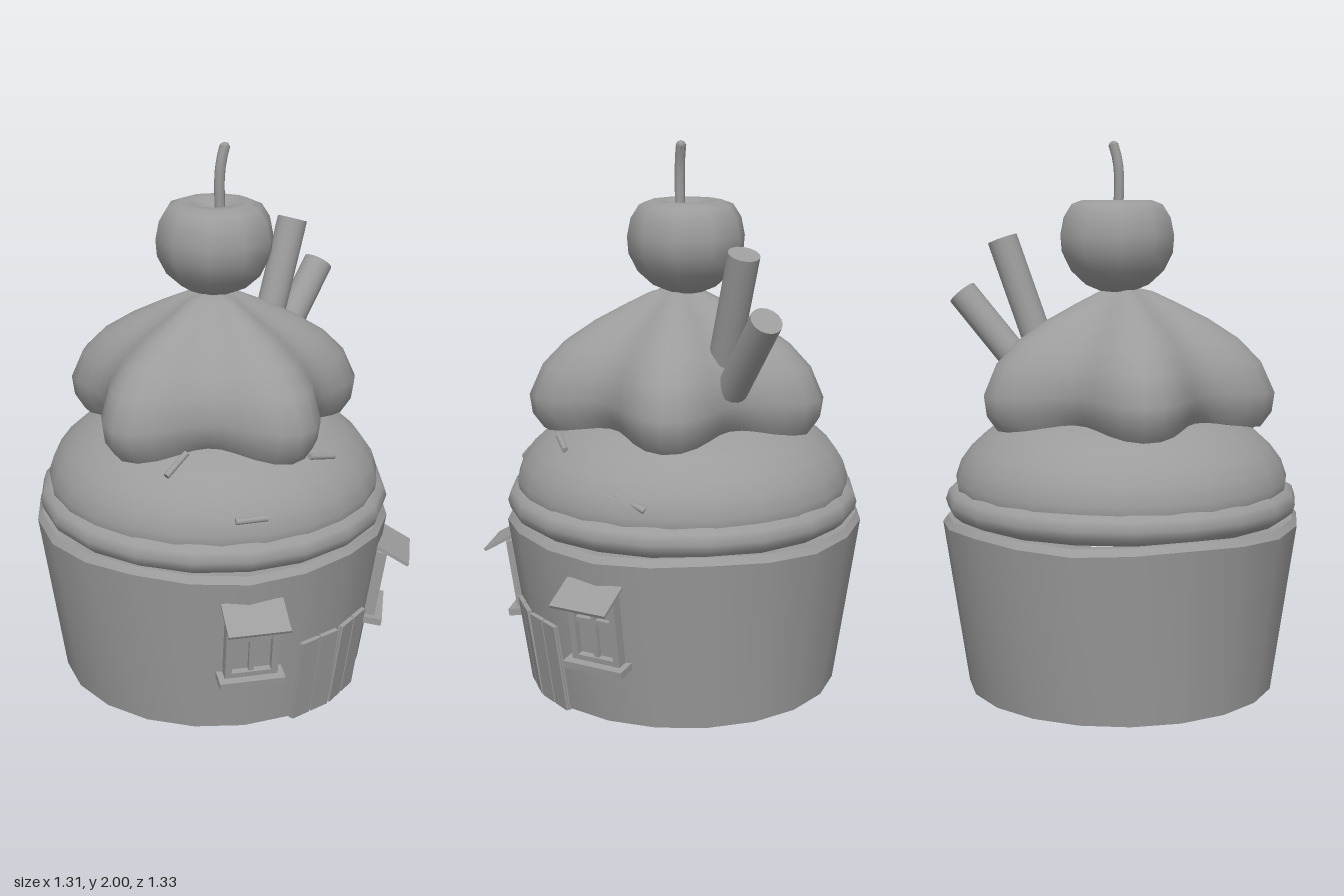
import * as THREE from 'three';
import { toCreasedNormals } from 'three/addons/utils/BufferGeometryUtils.js';

const grey = new THREE.MeshStandardMaterial({ color: 0x9c9c9c });
grey.name = 'plain grey';
const CZ = -0.015; // z of the cake axis
const WALL_TILT = Math.atan2(0.09, 0.61);

function add(parent, name, geometry, x = 0, y = 0, z = 0) {
  const mesh = new THREE.Mesh(geometry, grey);
  mesh.name = name;
  mesh.position.set(x, y, z);
  parent.add(mesh);
  return mesh;
}

function box(parent, name, w, h, d, x, y, z) {
  return add(parent, name, new THREE.BoxGeometry(w, h, d), x, y, z);
}

function lathe(points, segments) {
  return new THREE.LatheGeometry(points.map(([r, y]) => new THREE.Vector2(r, y)), segments);
}

// Round bar between two points
function stick(parent, name, a, b, radius) {
  const from = new THREE.Vector3(...a), dir = new THREE.Vector3(...b).sub(from);
  const mesh = add(parent, name, new THREE.CylinderGeometry(radius, radius, dir.length(), 16));
  mesh.position.copy(from).addScaledVector(dir, 0.5);
  mesh.quaternion.setFromUnitVectors(new THREE.Vector3(0, 1, 0), dir.normalize());
}

// Five-lobed cream: each row is [lobe radius, height at lobe, valley radius, height at valley]
function creamGeometry() {
  const rows = [
    [0.2, 0.99, 0.2, 1.0], [0.5, 0.975, 0.36, 1.01], [0.54, 1.03, 0.39, 1.05], [0.55, 1.1, 0.405, 1.11],
    [0.5, 1.21, 0.385, 1.2], [0.42, 1.29, 0.34, 1.27], [0.31, 1.36, 0.26, 1.34],
    [0.19, 1.42, 0.17, 1.4], [0.1, 1.46, 0.1, 1.45], [0, 1.48, 0, 1.48],
  ];
  const segments = 50;
  const geo = lathe(rows.map(r => [r[0], r[1]]), segments);
  const pos = geo.attributes.position;
  for (let i = 0; i < pos.count; i++) {
    const [lr, ly, vr, vy] = rows[i % rows.length];
    const phi = Math.floor(i / rows.length) / segments * Math.PI * 2;
    const angle = Math.PI / 2 - phi;
    const w = Math.pow(0.5 + 0.5 * Math.cos(5 * (angle - 0.54)), 1.15);
    const r = vr + (lr - vr) * w;
    pos.setXYZ(i, Math.sin(phi) * r - 0.012, vy + (ly - vy) * w, Math.cos(phi) * r);
  }
  return toCreasedNormals(geo, 0.8);
}

// Paper cup with a gently wavy rim
function cupGeometry() {
  const points = [[0, 0.01], [0.565, 0.01], [0.655, 0.625], [0.637, 0.65], [0.58, 0.645]];
  const geo = lathe(points, 20);
  const pos = geo.attributes.position;
  for (let i = 0; i < pos.count; i++) {
    if (i % points.length < 2) continue;
    const phi = Math.floor(i / points.length) / 20 * Math.PI * 2;
    pos.setY(i, pos.getY(i) + 0.008 * Math.cos(5 * phi));
  }
  return toCreasedNormals(geo, 0.5);
}

// Cottage window: frame bars, sill and sloping awning, built facing +z
function windowUnit(side) {
  const turn = new THREE.Group();
  turn.name = side > 0 ? 'leftWindow' : 'rightWindow';
  turn.position.set(0, 0, CZ);
  turn.rotation.y = side * 0.61;
  const unit = new THREE.Group();
  unit.position.set(0, 0.375, 0.617);
  unit.rotation.x = WALL_TILT;
  turn.add(unit);
  box(unit, 'windowPane', 0.18, 0.26, 0.02, 0, 0, -0.006);
  for (const s of [-1, 1]) {
    box(unit, 'frameSide', 0.024, 0.27, 0.04, s * 0.083, 0, 0.008);
    box(unit, 'frameEnd', 0.18, 0.024, 0.04, 0, s * 0.118, 0.008);
  }
  box(unit, 'mullion', 0.018, 0.25, 0.03, 0, 0, 0.006);
  box(unit, 'crossbar', 0.16, 0.018, 0.03, 0, 0.03, 0.006);
  box(unit, 'sill', 0.235, 0.026, 0.085, 0, -0.138, 0.015);
  const awning = box(turn, 'awning', 0.22, 0.012, 0.135, 0, 0.505, 0.685);
  awning.rotation.x = 0.52;
  return turn;
}

export function createModel() {
  const model = new THREE.Group();
  model.name = 'cupcakeHouse';

  add(model, 'cup', cupGeometry(), 0, 0, CZ);

  // Sponge: rolled lip, then dome
  const lip = [[0.56, 0.64], [0.61, 0.648], [0.637, 0.67], [0.646, 0.7], [0.635, 0.735], [0.605, 0.752], [0.56, 0.755]];
  add(model, 'spongeLip', toCreasedNormals(lathe(lip, 20), 0.9), 0, 0, -0.008);
  const dome = [[0.605, 0.745], [0.61, 0.78], [0.59, 0.84], [0.55, 0.895], [0.49, 0.95], [0.41, 0.995], [0.3, 1.025], [0.15, 1.04], [0, 1.045]];
  add(model, 'spongeDome', lathe(dome, 24), 0, 0, -0.008);

  add(model, 'cream', creamGeometry());

  // Cherry and stem
  const cherry = [[0, 1.455], [0.06, 1.46], [0.12, 1.485], [0.175, 1.535], [0.208, 1.6], [0.213, 1.66], [0.2, 1.725],
    [0.17, 1.772], [0.13, 1.787], [0.085, 1.785], [0.045, 1.765], [0, 1.745]];
  const cherryGeo = lathe(cherry, 10).rotateY(Math.PI / 2);
  add(model, 'cherry', cherryGeo, 0.015, 0, -0.015);
  const stemPath = new THREE.CatmullRomCurve3([
    new THREE.Vector3(0.015, 1.74, 0.01), new THREE.Vector3(0.012, 1.87, 0.01),
    new THREE.Vector3(0.018, 1.93, 0.012), new THREE.Vector3(0.034, 1.985, 0.015)]);
  add(model, 'cherryStem', new THREE.TubeGeometry(stemPath, 6, 0.019, 7));
  const tip = add(model, 'stemTip', new THREE.SphereGeometry(0.019, 7, 4), 0.034, 1.981, 0.015);
  tip.scale.y = 0.95;

  // Wafer sticks
  stick(model, 'tallWafer', [0.31, 1.26, -0.018], [0.45, 1.645, -0.018], 0.056);
  stick(model, 'shortWafer', [0.37, 1.165, -0.018], [0.61, 1.445, -0.018], 0.056);

  // Sprinkles: end points on the dome
  const sprinkles = [
    [[-0.46, 0.95, 0.195], [-0.36, 1.005, 0.195]],
    [[-0.385, 0.832, 0.445], [-0.29, 0.832, 0.505]],
    [[-0.025, 0.965, 0.47], [0.085, 0.94, 0.49]],
    [[0.375, 0.845, 0.425], [0.468, 0.805, 0.36]],
  ];
  for (const [a, b] of sprinkles) stick(model, 'sprinkle', a, b, 0.011);

  for (const side of [-1, 1]) model.add(windowUnit(side));

  // Double door: two leaves of planks following the wall facets
  for (const side of [-1, 1]) {
    const leaf = new THREE.Group();
    leaf.name = side > 0 ? 'leftDoor' : 'rightDoor';
    leaf.position.z = CZ;
    leaf.rotation.y = side * Math.PI / 20;
    const panel = new THREE.Group();
    panel.position.set(0, 0.004, 0.558);
    panel.rotation.x = WALL_TILT;
    leaf.add(panel);
    box(panel, 'doorBacking', 0.176, 0.325, 0.02, 0, 0.163, -0.004);
    for (const s of [-1, 1]) box(panel, 'doorPlank', 0.08, 0.33, 0.024, s * 0.044, 0.165, 0.002);
    model.add(leaf);
  }
  return model;
}
